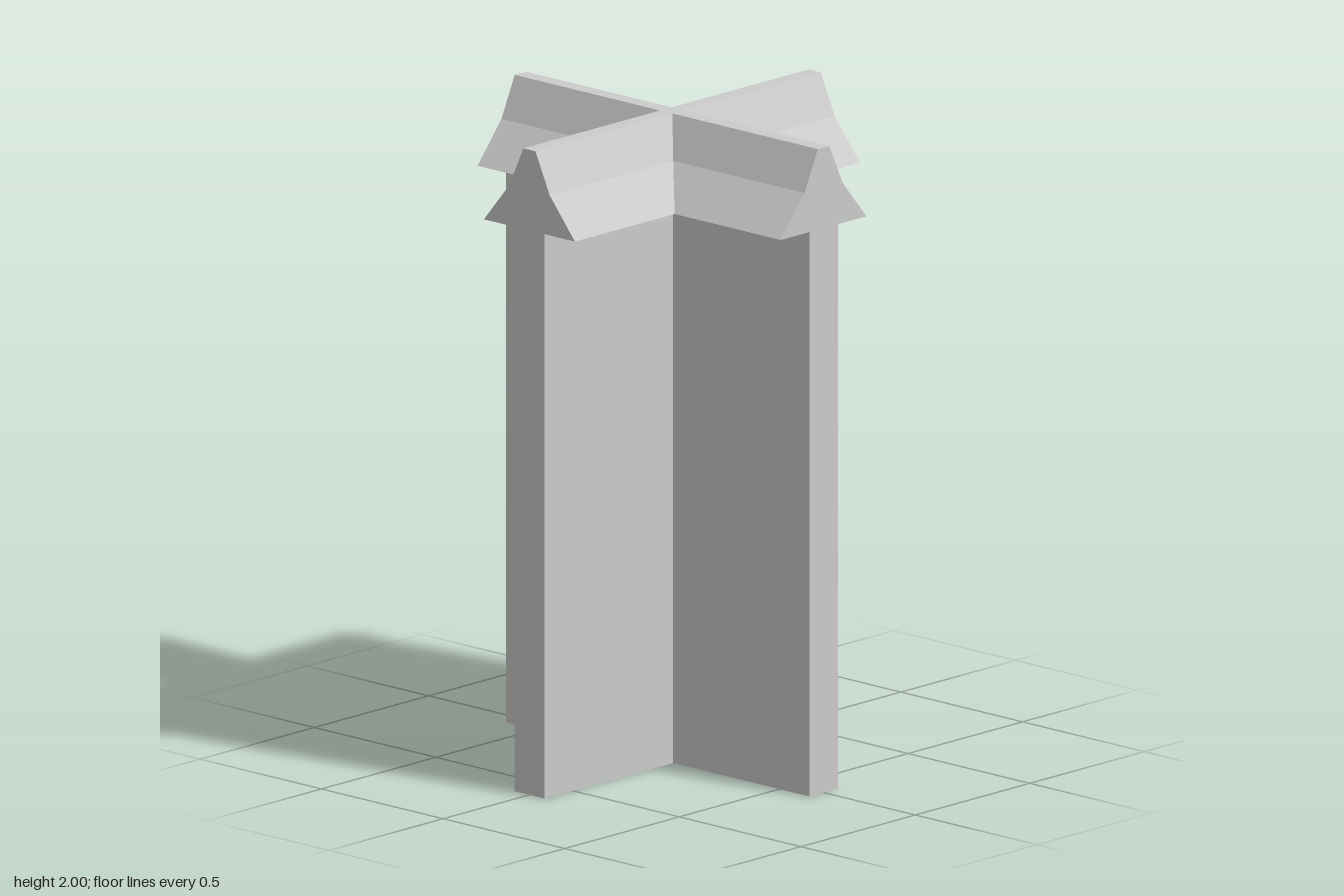
import * as THREE from 'three';
import { mergeGeometries } from 'three/addons/utils/BufferGeometryUtils.js';

const REACH = 0.623; // from the centre to the end of each arm
const EAVES = 1.75;  // top of the walls, underside of the cap

const material = new THREE.MeshStandardMaterial({ color: 0xcccccc, flatShading: true });

// Sweeps an open counter-clockwise profile along +z; the inner end is mitred
// at 45 degrees (z = |x|) so four arms meet without gaps.
function armGeometry(profile) {
  const positions = [];
  for (let i = 0; i < profile.length - 1; i++) {
    const [ax, ay] = profile[i];
    const [bx, by] = profile[i + 1];
    const aIn = [ax, ay, Math.abs(ax)], aOut = [ax, ay, REACH];
    const bIn = [bx, by, Math.abs(bx)], bOut = [bx, by, REACH];
    positions.push(...aIn, ...bIn, ...bOut, ...aIn, ...bOut, ...aOut);
  }
  const sides = new THREE.BufferGeometry();
  sides.setAttribute('position', new THREE.Float32BufferAttribute(positions, 3));
  sides.computeVertexNormals();

  // flat face closing the outer end
  const shape = new THREE.Shape(profile.map(([x, y]) => new THREE.Vector2(x, y)));
  const end = new THREE.ShapeGeometry(shape).toNonIndexed();
  end.deleteAttribute('uv');
  end.translate(0, 0, REACH);
  return mergeGeometries([sides, end]);
}

export function createModel() {
  const model = new THREE.Group();
  model.name = 'crossWall';

  const wall = armGeometry([
    [-0.062, EAVES], [-0.062, 0], [0, 0], [0.062, 0], [0.062, EAVES],
  ]);

  // right half of the cap, mirrored to the left
  const half = [[0.062, EAVES], [0.187, EAVES], [0.083, 1.875], [0.025, 2]];
  const mirrored = half.map(([x, y]) => [-x, y]).reverse();
  const cap = armGeometry([...half, [0, 2], ...mirrored]);

  ['front', 'left', 'back', 'right'].forEach((side, i) => {
    const arm = new THREE.Group();
    arm.name = `${side}Arm`;
    const wallMesh = new THREE.Mesh(wall, material);
    wallMesh.name = 'wall';
    const capMesh = new THREE.Mesh(cap, material);
    capMesh.name = 'slopedCap';
    arm.add(wallMesh, capMesh);
    arm.rotation.y = i * Math.PI / 2;
    model.add(arm);
  });
  return model;
}
